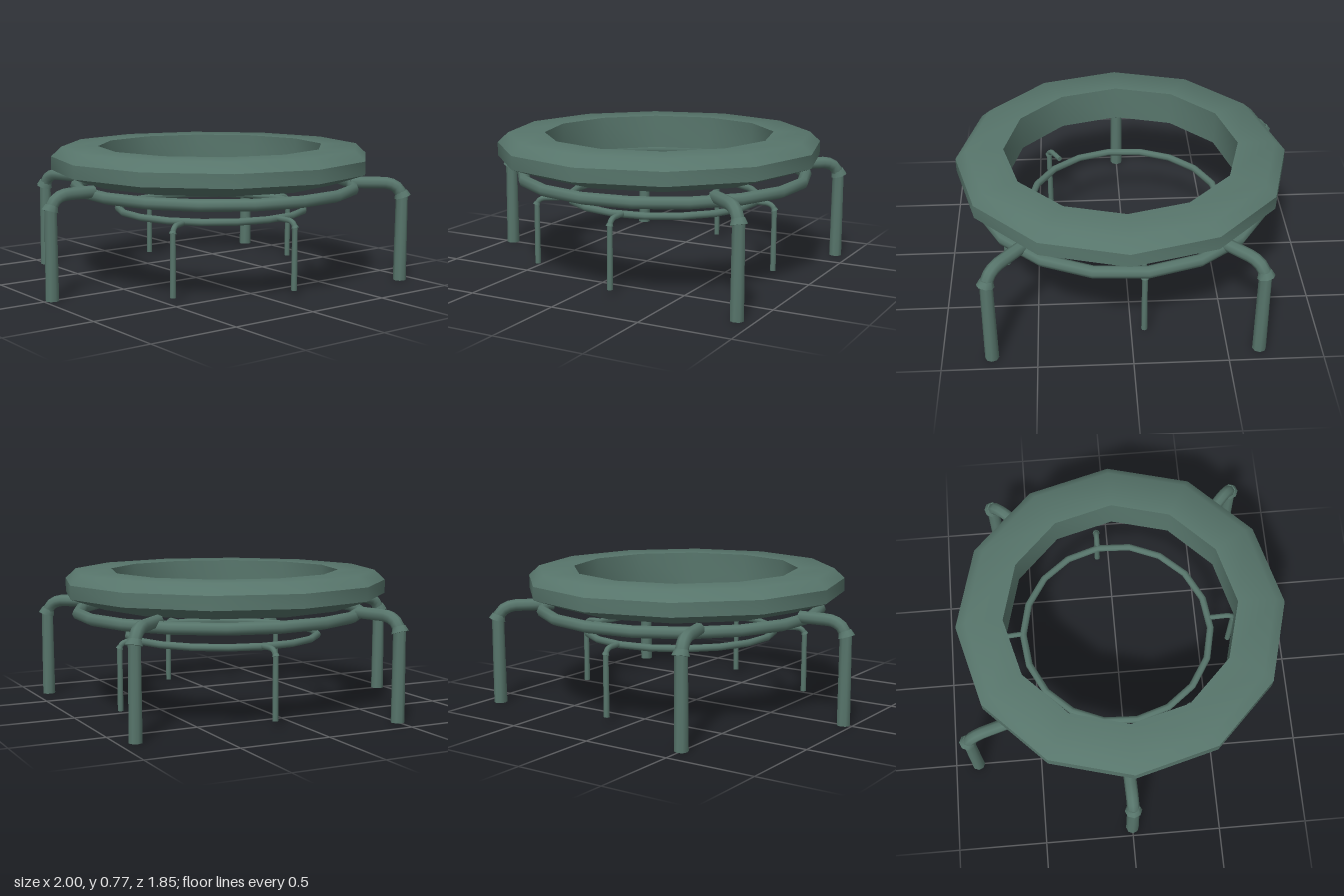
import * as THREE from 'three';
import { toCreasedNormals } from 'three/addons/utils/BufferGeometryUtils.js';

const V = (x, y, z) => new THREE.Vector3(x, y, z);

export function createModel() {
  const model = new THREE.Group();
  model.name = 'roundFrame';
  const material = new THREE.MeshStandardMaterial({ color: 0x57756b });

  const add = (parent, name, geometry, x = 0, y = 0, z = 0) => {
    const mesh = new THREE.Mesh(geometry, material);
    mesh.name = name;
    mesh.position.set(x, y, z);
    parent.add(mesh);
    return mesh;
  };

  // Twelve-sided padded rim with bevelled edges
  const profile = [
    [0.64, 0.575], [0.72, 0.575], [0.91, 0.64], [0.91, 0.715],
    [0.85, 0.77], [0.645, 0.77], [0.64, 0.575],
  ].map(([r, y]) => new THREE.Vector2(r, y));
  add(model, 'rim', toCreasedNormals(new THREE.LatheGeometry(profile, 12), 0.8), 0.09, 0, 0.02);

  // Horizontal pipe rings
  const ring = (name, radius, tube, sides, turn, x, y, z) => {
    const geometry = new THREE.TorusGeometry(radius, tube, 8, sides);
    geometry.rotateX(-Math.PI / 2).rotateY(turn);
    add(model, name, geometry, x, y, z);
  };
  ring('supportRing', 0.8, 0.033, 18, 0.12, 0.12, 0.538, 0.02);
  ring('innerRing', 0.54, 0.02, 18, 0.13, 0.11, 0.405, 0);

  // Post, flared collar and an elbow that bends in to its ring
  const leg = (name, foot, end, base, top, armY, r) => {
    const group = new THREE.Group();
    group.name = name;
    const [x, z] = foot;
    const inward = V(end[0] - x, 0, end[1] - z);
    const reach = inward.length();
    inward.normalize();
    const at = (d, y) => V(x + inward.x * d, y, z + inward.z * d);
    const bend = armY - top;

    const post = new THREE.CylinderGeometry(r * 0.92, r, top - base, 8);
    add(group, 'post', toCreasedNormals(post, 0.9), x, (top + base) / 2, z);
    const collar = new THREE.CylinderGeometry(r * 0.95, r * 1.28, r * 0.9, 8);
    const c = add(group, 'collar', toCreasedNormals(collar, 0.9), x, top + r * 0.2, z);
    c.quaternion.setFromAxisAngle(V(inward.z, 0, -inward.x), 0.3);

    const path = new THREE.CurvePath();
    path.add(new THREE.QuadraticBezierCurve3(at(0, top - r * 0.3), at(bend * 0.15, armY - bend * 0.1), at(bend * 1.4, armY)));
    path.add(new THREE.LineCurve3(at(bend * 1.4, armY), at(reach, armY)));
    add(group, 'elbow', new THREE.TubeGeometry(path, 10, r * 0.92, 8));

    // Cap closing the free end of the arm
    const cap = add(group, 'armEnd', new THREE.CircleGeometry(r * 0.92, 8), end[0], armY, end[1]);
    cap.quaternion.setFromUnitVectors(V(0, 0, 1), inward);
    model.add(group);
  };

  // Thick outer legs: foot [x, z], arm end [x, z]
  [
    [[-0.95, 0], [-0.68, -0.01]],
    [[-0.5, -0.87], [-0.42, -0.6]],
    [[0.91, -0.67], [0.69, -0.44]],
    [[0.91, 0.74], [0.69, 0.55]],
  ].forEach(([foot, end], i) => leg('outerLeg' + (i + 1), foot, end, 0, 0.49, 0.562, 0.037));

  // Thin inner legs
  [
    [[0.13, -0.67], [0.14, -0.54]],
    [[0.76, -0.07], [0.65, -0.07]],
    [[0.155, 0.68], [0.15, 0.54]],
    [[-0.47, 0.43], [-0.36, 0.365]],
  ].forEach(([foot, end], i) => leg('innerLeg' + (i + 1), foot, end, 0.03, 0.375, 0.408, 0.0165));

  return model;
}
